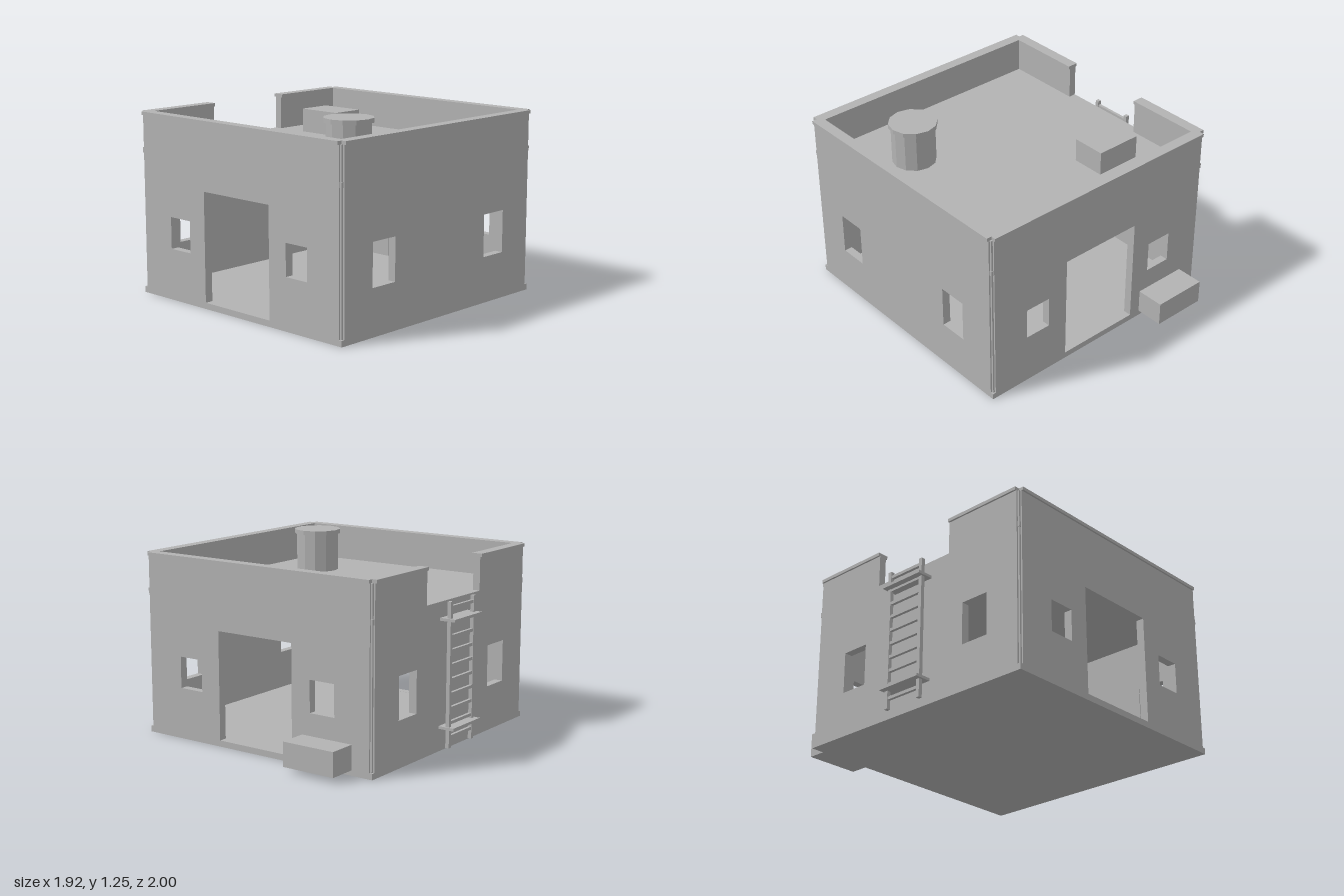
import * as THREE from 'three';

export function createModel() {
  const model = new THREE.Group();
  const plaster = new THREE.MeshStandardMaterial({ color: 0xb2b2b2, flatShading: true });
  plaster.name = 'grey plaster';

  const add = (name, geometry, parent = model) => {
    const mesh = new THREE.Mesh(geometry, plaster);
    mesh.name = name;
    parent.add(mesh);
    return mesh;
  };
  // box from its lower and upper limits on each axis
  const box = (name, x0, x1, y0, y1, z0, z1, parent) => {
    const mesh = add(name, new THREE.BoxGeometry(x1 - x0, y1 - y0, z1 - z0), parent);
    mesh.position.set((x0 + x1) / 2, (y0 + y1) / 2, (z0 + z1) / 2);
    return mesh;
  };
  const rectangle = (path, a0, a1, b0, b1) => {
    path.moveTo(a0, b0).lineTo(a1, b0).lineTo(a1, b1).lineTo(a0, b1).closePath();
    return path;
  };

  // outer limits of the house
  const L = -0.85, R = 0.945, B = -0.81, F = 0.985;
  const notch = 0.022, thick = 0.055, floorY = 0.04, roofY = 0.97, topY = 1.19;

  const wallGeometry = (a0, a1, openings) => {
    const shape = rectangle(new THREE.Shape(), a0, a1, floorY, roofY);
    for (const o of openings) shape.holes.push(rectangle(new THREE.Path(), ...o));
    return new THREE.ExtrudeGeometry(shape, { depth: thick, bevelEnabled: false });
  };

  // floor slab and roof slab
  box('floorSlab', L, R, 0, floorY, B, F);
  box('roofSlab', L + 0.005, R - 0.005, roofY - 0.05, roofY, B + notch, F - notch);

  // front and back walls: a doorway and two windows each
  const doorAndWindows = [
    [-0.245, 0.34, floorY + 0.001, 0.76],
    [-0.57, -0.385, 0.34, 0.55],
    [0.485, 0.665, 0.34, 0.55],
  ];
  for (const [name, z] of [['frontWall', F - thick], ['backWall', B]]) {
    add(name, wallGeometry(L + notch, R - notch, doorAndWindows)).position.z = z;
  }

  // side walls: two windows each
  const sideWindows = [[0.52, 0.72, 0.305, 0.585], [-0.53, -0.335, 0.305, 0.585]];
  for (const [name, x] of [['leftWall', R], ['rightWall', L + thick]]) {
    const wall = add(name, wallGeometry(B + notch, F - notch, sideWindows));
    wall.rotation.y = -Math.PI / 2;
    wall.position.x = x;
  }

  // parapet with a gap at the ladder, topped by an overhanging coping
  const gap0 = -0.23, gap1 = 0.4, p = 0.05, o = 0.012, c = 0.06;
  const parapet = new THREE.Group();
  parapet.name = 'parapet';
  model.add(parapet);
  const strips = [
    ['front', L + notch, R - notch, F - p, F, 0, 0, -1, 1],
    ['back', L + notch, R - notch, B, B + p, 0, 0, -1, 1],
    ['left', R - p, R, B + notch, F - notch, -1, 1, 0, 0],
    ['rightRear', L, L + p, B + notch, gap0, -1, 1, 0, 0],
    ['rightFront', L, L + p, gap1, F - notch, -1, 1, 0, 0],
  ];
  for (const [name, x0, x1, z0, z1, ax, bx, az, bz] of strips) {
    box(name + 'Parapet', x0, x1, roofY, topY, z0, z1, parapet);
    box(name + 'Coping', x0 + ax * o, x1 + bx * o, topY, topY + 0.022, z0 + az * o, z1 + bz * o, parapet);
  }

  // slim downpipes with collars standing in the corner notches
  for (const [x, sx] of [[L, 1], [R, -1]]) {
    for (const [z, sz] of [[B, 1], [F, -1]]) {
      const px = x + sx * 0.016, pz = z + sz * 0.016;
      box('cornerPipe', px - 0.006, px + 0.006, floorY, topY, pz - 0.006, pz + 0.006);
      box('pipeCollar', px - 0.01, px + 0.01, 0.94, 0.975, pz - 0.01, pz + 0.01);
    }
  }

  // ladder on the right side
  const ladder = new THREE.Group();
  ladder.name = 'ladder';
  model.add(ladder);
  for (const z of [-0.065, 0.21]) box('ladderRail', -0.922, -0.896, 0.03, 0.975, z, z + 0.025, ladder);
  for (const y of [0.15, 0.85]) box('ladderBracket', -0.96, L, y, y + 0.018, -0.075, 0.25, ladder);
  for (let i = 0; i < 10; i++) {
    const y = 0.09 + i * 0.093;
    box('ladderRung', -0.919, -0.899, y, y + 0.02, -0.05, 0.22, ladder);
  }

  // block behind the back wall and unit on the roof
  box('backBlock', -0.7, -0.325, 0.035, 0.195, -1, B);
  box('roofUnit', -0.585, -0.265, roofY, 1.13, -0.465, -0.235);

  // roof tank with its lid
  const tank = new THREE.Group();
  tank.name = 'roofTank';
  tank.position.set(0.515, 0, 0.47);
  model.add(tank);
  add('tankBody', new THREE.CylinderGeometry(0.145, 0.145, 0.255, 12), tank).position.y = roofY + 0.1275;
  add('tankLid', new THREE.CylinderGeometry(0.16, 0.16, 0.03, 12), tank).position.y = 1.24;

  // small roof drains
  for (const x of [-0.405, 0.325]) {
    add('roofDrain', new THREE.CylinderGeometry(0.008, 0.008, 0.006, 8)).position.set(x, roofY + 0.003, -0.575);
  }

  return model;
}
